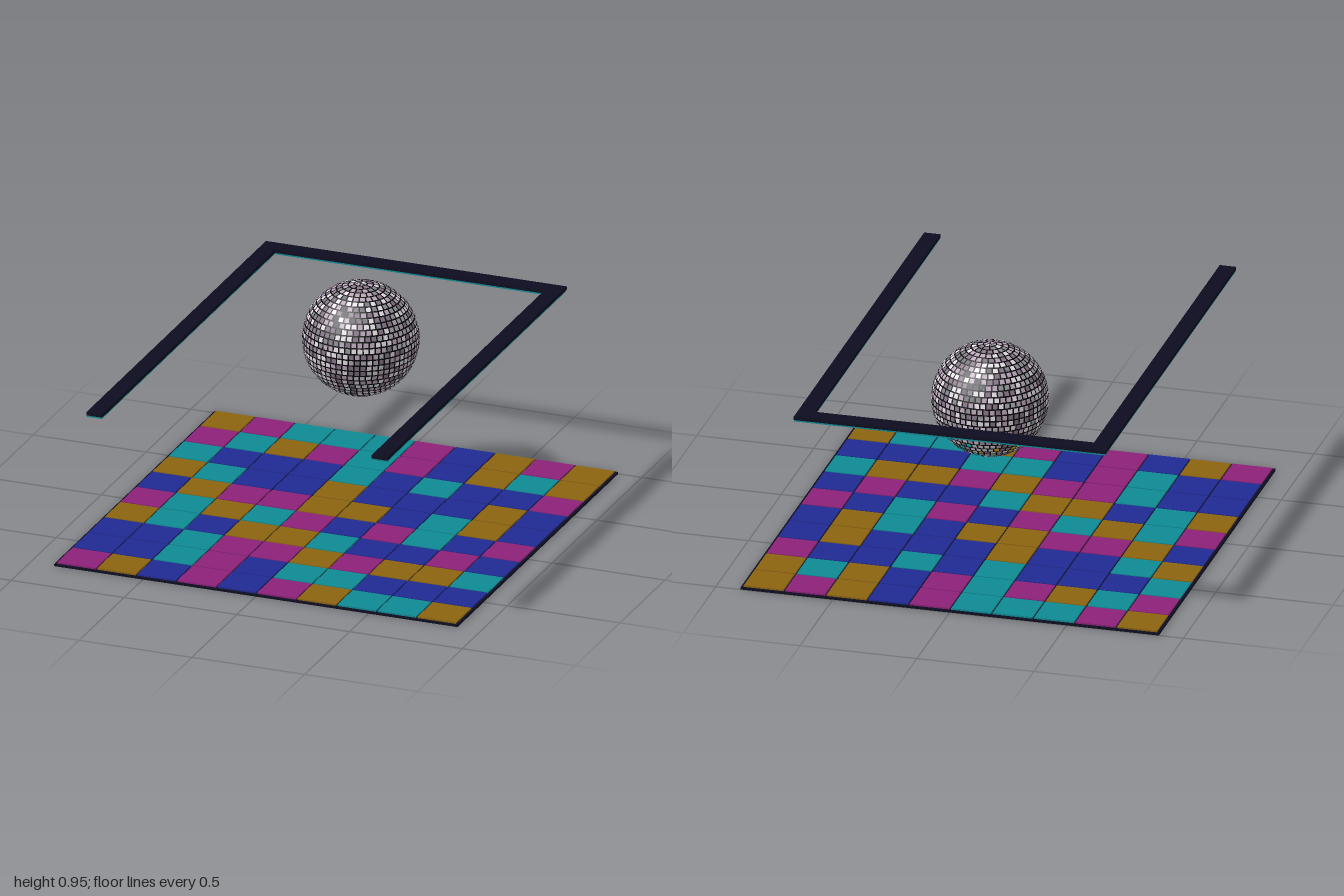
import * as THREE from 'three';

const mat = (name, color, side = THREE.FrontSide) => {
  const m = new THREE.MeshStandardMaterial({ color, side });
  m.name = name;
  return m;
};

export function createModel() {
  const group = new THREE.Group();
  const navy = mat('dark navy', 0x0d0c20);
  const black = mat('black grout', 0x08070c);
  const teal = mat('teal', 0x0e8a92);
  const tileMats = {
    G: mat('gold', 0x8b6410), M: mat('magenta', 0x8c2178),
    T: teal, B: mat('blue', 0x202a92),
  };

  const box = (parent, name, material, size, pos) => {
    const mesh = new THREE.Mesh(new THREE.BoxGeometry(...size), material);
    mesh.position.set(...pos);
    mesh.name = name;
    parent.add(mesh);
  };

  // Dance floor: dark slab with a 10 x 10 pattern of coloured tiles, back row first
  const floor = new THREE.Group();
  floor.name = 'danceFloor';
  group.add(floor);
  const floorZ = -0.105, pitch = 0.1775;
  box(floor, 'floorSlab', navy, [1.79, 0.008, 1.79], [0, 0.004, floorZ]);
  const pattern = [
    'GMTTTMBGMG',
    'MTGMTMBGTG',
    'TBBBTBTBBM',
    'GTBBGBBBGB',
    'BGMMGGBTGB',
    'MTGTMBMTBM',
    'GTBGGTBBMB',
    'BBTMMGMGGT',
    'BBTMBTTBBB',
    'MGBMBMGTTG',
  ];
  pattern.forEach((row, r) => [...row].forEach((key, c) => {
    box(floor, 'floorTile', tileMats[key], [0.17, 0.007, 0.17],
      [(c - 4.5) * pitch, 0.0115, floorZ + (r - 4.5) * pitch]);
  }));

  // Overhead U-shaped light frame, open at the front, glowing underneath
  const frame = new THREE.Group();
  frame.name = 'lightFrame';
  group.add(frame);
  const rail = (name, w, d, x, z) => {
    box(frame, name, navy, [w, 0.014, d], [x, 0.793, z]);
    box(frame, name + 'Light', teal, [w - 0.004, 0.007, d - 0.004], [x, 0.7825, z]);
  };
  for (const s of [-1, 1]) rail('sideRail', 0.07, 2, s * 0.632, 0);
  rail('backRail', 1.194, 0.075, 0, -0.9625);

  // Mirror ball: small facets in a dark lattice, with some facets left open
  const ball = new THREE.Group();
  ball.name = 'mirrorBall';
  ball.position.set(0, 0.706, -0.381);
  group.add(ball);
  const R = 0.243, rows = 30, gap = 0.24;
  const point = (t, p) => [
    R * Math.sin(t) * Math.sin(p), R * Math.cos(t), R * Math.sin(t) * Math.cos(p),
  ];
  const lattice = [], pale = [], mauve = [], shade = [];
  const quad = (list, t0, t1, p0, p1) => {
    const a = point(t0, p0), b = point(t1, p0), c = point(t1, p1), d = point(t0, p1);
    list.push(...a, ...b, ...c, ...a, ...c, ...d);
  };
  let seed = 7;
  const random = () => {
    seed = (seed * 16807) % 2147483647;
    return seed / 2147483647;
  };
  const dt = Math.PI / rows;
  for (let i = 0; i < rows; i++) {
    const t0 = i * dt, tm = t0 + dt * gap, t1 = t0 + dt;
    const cols = Math.max(6, Math.round(2 * rows * Math.sin(t0 + dt / 2)));
    const dp = 2 * Math.PI / cols, shift = random() * dp;
    for (let j = 0; j < cols; j++) {
      const p0 = j * dp + shift, pm = p0 + dp * gap, p1 = p0 + dp;
      quad(lattice, t0, tm, p0, p1);
      quad(lattice, tm, t1, p0, pm);
      const k = random();
      if (k < 0.8) quad(k < 0.25 ? pale : k < 0.58 ? mauve : shade, tm, t1, pm, p1);
    }
  }
  const addFacets = (name, list, material) => {
    const geo = new THREE.BufferGeometry();
    geo.setAttribute('position', new THREE.Float32BufferAttribute(list, 3));
    geo.computeVertexNormals();
    const mesh = new THREE.Mesh(geo, material);
    mesh.name = name;
    ball.add(mesh);
  };
  addFacets('ballLattice', lattice, black);
  addFacets('paleFacets', pale, mat('pale mirror', 0xe9e2ea));
  addFacets('mauveFacets', mauve, mat('mauve mirror', 0xb9a6b8));
  addFacets('shadeFacets', shade, mat('grey mauve mirror', 0x857486));

  return group;
}
